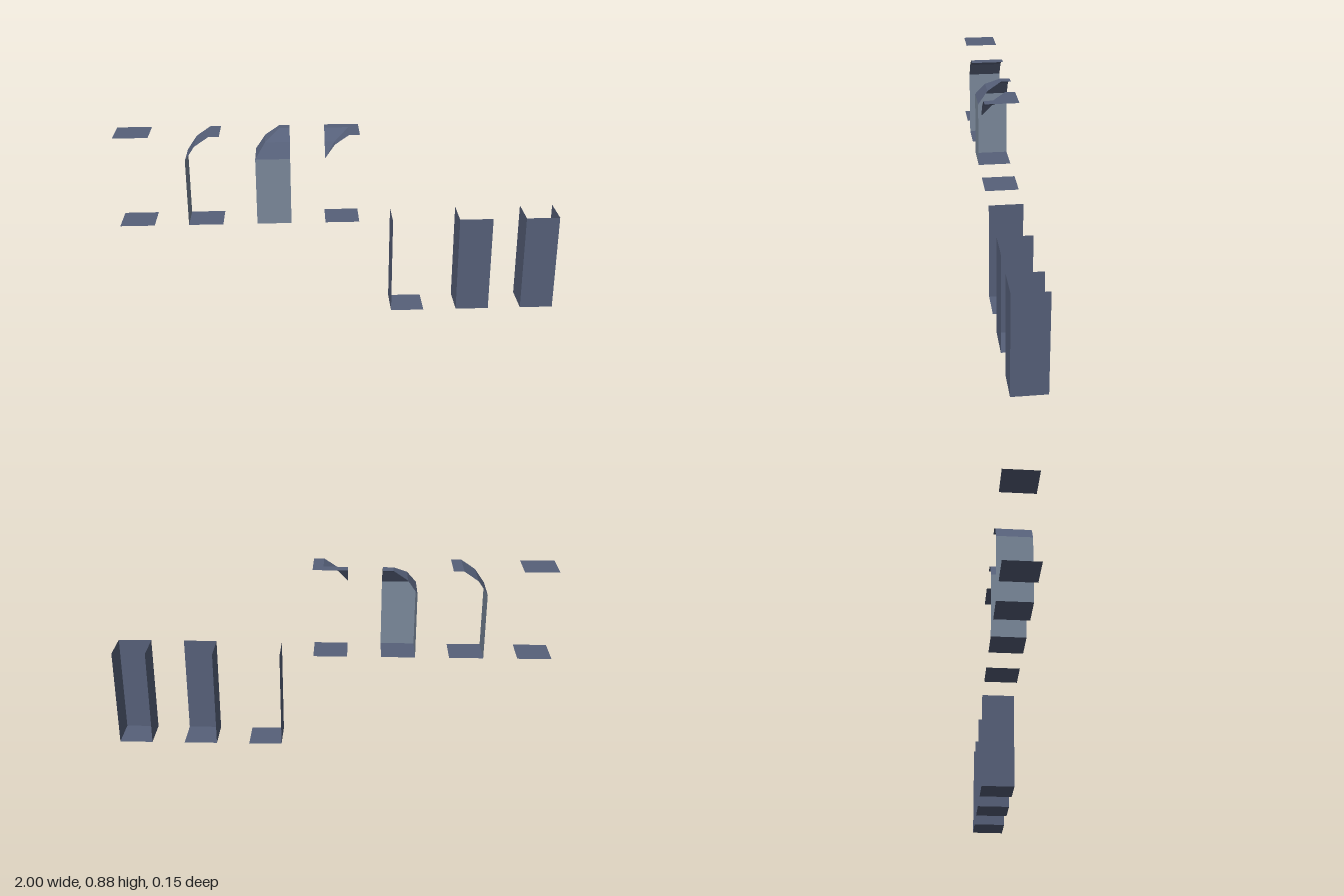
import * as THREE from 'three';

const H = 1 / 13;            // half a tile
const PITCH = 4 * H;         // spacing between tiles
const LEVEL = 6 * H;         // floor height of the vaulted tiles
const SPRING = 10 * H;       // height where the vault starts
const R = 1.4 * H;           // reach and rise of the vault
// vault profile: [inward offset, rise]
const VAULT = [[0, 0], [0.044, 0.064], [R, R]];

export function createModel() {
  const stone = new THREE.MeshStandardMaterial({ color: 0x566079, side: THREE.DoubleSide });
  stone.name = 'slate stone';
  const plaster = new THREE.MeshStandardMaterial({ color: 0x7b899b, side: THREE.DoubleSide });
  plaster.name = 'pale wall';

  const model = new THREE.Group();
  model.name = 'tileSet';

  const add = (parent, name, geometry, material) => {
    const mesh = new THREE.Mesh(geometry, material);
    mesh.name = name;
    parent.add(mesh);
    return mesh;
  };

  const tile = (index, name) => {
    const group = new THREE.Group();
    group.name = name;
    group.position.x = (index - 3) * PITCH;
    model.add(group);
    return group;
  };

  // horizontal rectangle, facing up or down
  const slab = (parent, name, y, x0, x1, z0, z1, up) => {
    const g = new THREE.PlaneGeometry(x1 - x0, z1 - z0);
    g.rotateX(up ? -Math.PI / 2 : Math.PI / 2);
    g.translate((x0 + x1) / 2, y, (z0 + z1) / 2);
    add(parent, name, g, stone);
  };
  const floor = (parent, y) => slab(parent, 'floor', y, -H, H, -H, H, true);
  const ceiling = (parent, x0 = -H, x1 = H, z0 = -H, z1 = H) =>
    slab(parent, 'ceiling', SPRING + R, x0, x1, z0, z1, false);

  // wall on one side, facing inward; quarter turns: 0 = -x, 1 = +z, 2 = +x
  const wall = (parent, turn, y0, y1, material) => {
    const g = new THREE.PlaneGeometry(2 * H, y1 - y0);
    g.rotateY(Math.PI / 2);
    g.translate(-H, (y0 + y1) / 2, 0);
    g.rotateY(turn * Math.PI / 2);
    add(parent, 'wall', g, material);
  };

  // faceted vault strip; its two ends follow rules of the inward offset
  const vault = (parent, turn, zFrom, zTo) => {
    const points = [], index = [];
    VAULT.forEach(([d, rise], i) => {
      points.push(-H + d, SPRING + rise, zFrom(d), -H + d, SPRING + rise, zTo(d));
      if (i > 0) {
        const a = 2 * (i - 1);
        index.push(a, a + 2, a + 1, a + 1, a + 2, a + 3);
      }
    });
    let g = new THREE.BufferGeometry();
    g.setAttribute('position', new THREE.Float32BufferAttribute(points, 3));
    g.setIndex(index);
    g = g.toNonIndexed();
    g.rotateY(turn * Math.PI / 2);
    g.computeVertexNormals();
    add(parent, 'vault', g, stone);
  };
  const nearEnd = () => -H, farEnd = () => H;
  const nearMitre = d => -H + d, farMitre = d => H - d;

  // open passage: floor and ceiling only
  const open = tile(0, 'openVaultTile');
  floor(open, LEVEL);
  ceiling(open);

  // one wall with a straight vault
  const side = tile(1, 'sideVaultTile');
  floor(side, LEVEL);
  wall(side, 0, LEVEL, SPRING, plaster);
  vault(side, 0, nearEnd, farEnd);
  ceiling(side, -H + R, H);

  // inner corner: two walls with mitred vaults
  const inner = tile(2, 'innerCornerVaultTile');
  floor(inner, LEVEL);
  wall(inner, 0, LEVEL, SPRING, plaster);
  wall(inner, 1, LEVEL, SPRING, plaster);
  vault(inner, 0, nearEnd, farMitre);
  vault(inner, 1, nearMitre, farEnd);
  ceiling(inner, -H + R, H, -H, H - R);

  // outer corner: pointed pendant under an L-shaped ceiling
  const outer = tile(3, 'outerCornerVaultTile');
  floor(outer, LEVEL);
  vault(outer, 0, farMitre, farEnd);
  vault(outer, 1, nearEnd, nearMitre);
  ceiling(outer, -H, H, -H, H - R);
  ceiling(outer, -H + R, H, H - R, H);

  // lower shafts with one, two and three walls
  ['sideShaftTile', 'cornerShaftTile', 'endShaftTile'].forEach((name, i) => {
    const shaft = tile(4 + i, name);
    floor(shaft, 0);
    for (let turn = 0; turn <= i; turn++) wall(shaft, turn, 0, LEVEL, stone);
  });

  return model;
}
